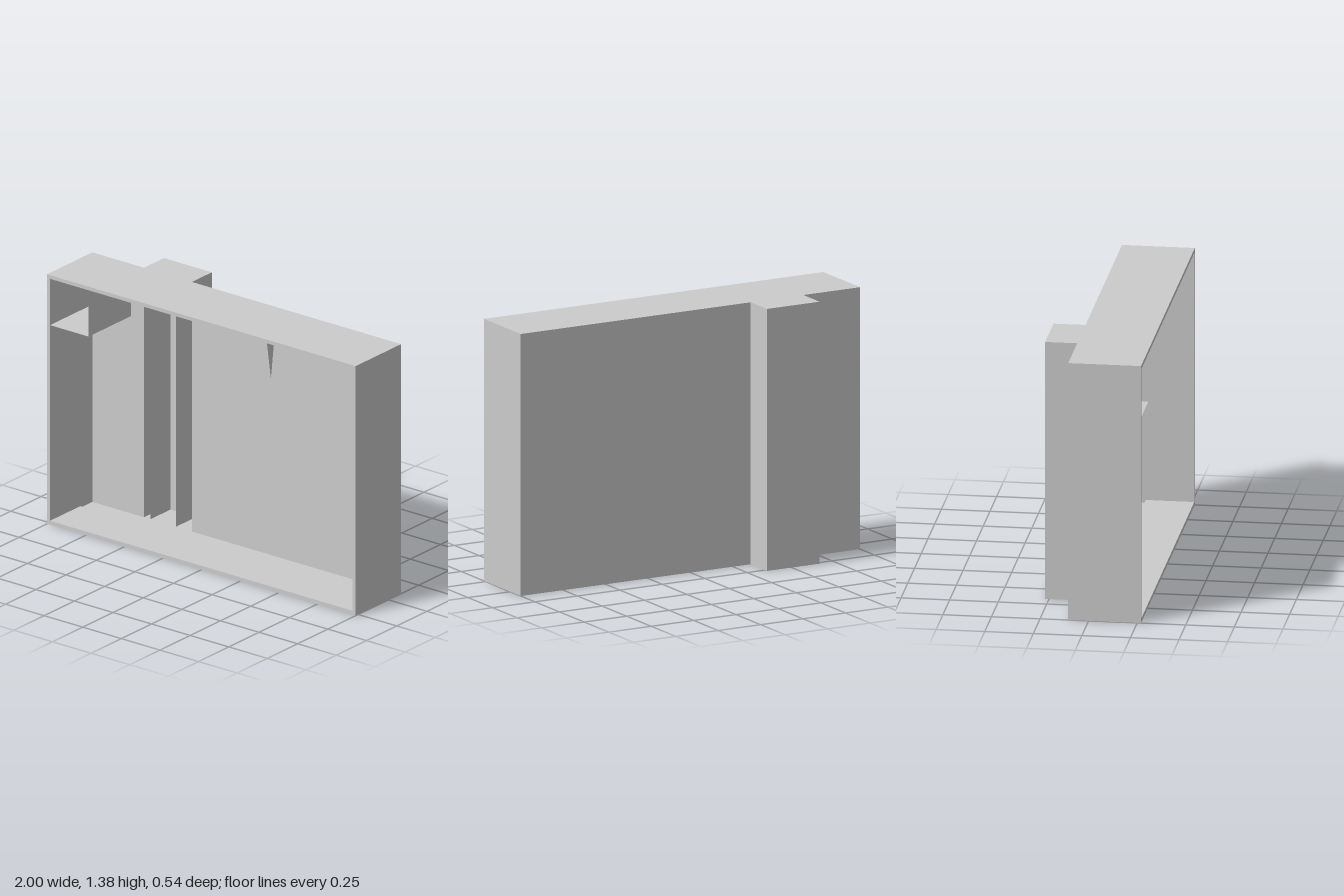
import * as THREE from 'three';

const W = 1, H = 1.375, FRONT = 0.27, BACK = -0.105, COLUMN_BACK = -0.27;
const COL_L = -0.665, COL_R = -0.355;          // sides of the rear column
const IN_X = 0.98, IN_LOW = 0.022, IN_HIGH = 1.355; // opening of the front frame

const material = new THREE.MeshStandardMaterial({
  color: 0xcccccc, flatShading: true, side: THREE.DoubleSide,
});

function shapeOf(points) {
  return new THREE.Shape(points.map(([x, y]) => new THREE.Vector2(x, y)));
}

export function createModel() {
  const group = new THREE.Group();

  function add(name, geometry) {
    const mesh = new THREE.Mesh(geometry, material);
    mesh.name = name;
    group.add(mesh);
    return mesh;
  }

  // Flat sheet across x, outlined by [z, y] points
  function sideSheet(name, x, points) {
    const geometry = new THREE.ShapeGeometry(shapeOf(points.map(([z, y]) => [-z, y])));
    geometry.rotateY(Math.PI / 2);
    add(name, geometry.translate(x, 0, 0));
  }

  // Flat level sheet, outlined by [x, z] points
  function levelSheet(name, y, points) {
    const geometry = new THREE.ShapeGeometry(shapeOf(points.map(([x, z]) => [x, -z])));
    geometry.rotateX(-Math.PI / 2);
    add(name, geometry.translate(0, y, 0));
  }

  const rect = (a0, b0, a1, b1) => [[a0, b0], [a1, b0], [a1, b1], [a0, b1]];

  // Outer shell: upright walls following the footprint, open at the front
  const footprint = [
    [W, FRONT], [W, BACK], [COL_R, BACK], [COL_R, COLUMN_BACK],
    [COL_L, COLUMN_BACK], [COL_L, BACK], [-W, BACK], [-W, FRONT],
  ];
  for (let i = 0; i < footprint.length - 1; i++) {
    const [x0, z0] = footprint[i], [x1, z1] = footprint[i + 1];
    const wall = add('outerWall', new THREE.PlaneGeometry(Math.hypot(x1 - x0, z1 - z0), H));
    wall.position.set((x0 + x1) / 2, H / 2, (z0 + z1) / 2);
    wall.rotation.y = Math.atan2(z0 - z1, x1 - x0);
  }
  levelSheet('bottom', 0, footprint);
  levelSheet('top', H, footprint);

  // Narrow rim around the front opening
  const rim = shapeOf(rect(-W, 0, W, H));
  rim.holes.push(shapeOf(rect(-IN_X, IN_LOW, IN_X, IN_HIGH)));
  add('frontRim', new THREE.ShapeGeometry(rim).translate(0, 0, FRONT));

  // Inner lining of the opening; the left lining is deeper, with a low cut-out
  const LINING = 0.02;
  levelSheet('lowerLining', IN_LOW, rect(-IN_X, LINING, IN_X, FRONT));
  levelSheet('upperLining', IN_HIGH, rect(-IN_X, LINING, IN_X, FRONT));
  sideSheet('rightLining', IN_X, rect(LINING, IN_LOW, FRONT, IN_HIGH));
  sideSheet('leftLining', -IN_X, [
    [FRONT, IN_LOW], [FRONT, IN_HIGH], [-0.07, IN_HIGH], [-0.07, 0.35],
    [0.06, 0.35], [0.06, IN_LOW],
  ]);

  // Small compartment in the upper corner
  levelSheet('compartmentShelf', 1.1, rect(-IN_X, -0.08, -0.73, FRONT));
  sideSheet('compartmentSide', -0.73, rect(-0.08, 1.1, FRONT, IN_HIGH));

  // Dividers inside the rear column
  for (const x of [-0.623, -0.458]) {
    sideSheet('columnDivider', x, rect(COLUMN_BACK, 0, BACK, H));
  }

  // Pointed fin hanging from the top
  sideSheet('hangingFin', 0.2, [[-0.1, H], [0.01, H], [-0.05, 1.0]]);

  return group;
}
